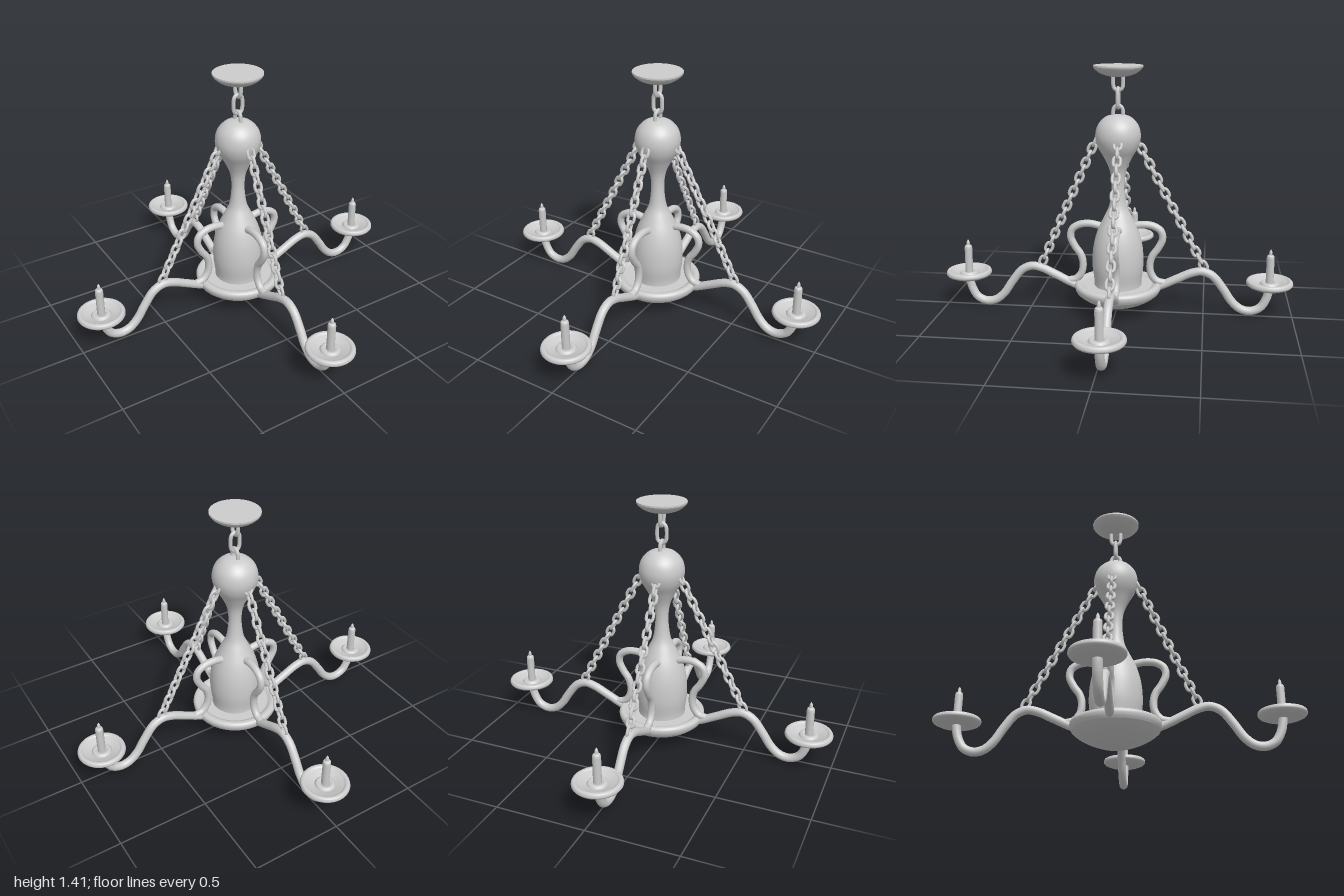
import * as THREE from 'three';

const material = new THREE.MeshStandardMaterial({ color: 0xcccccc, side: THREE.DoubleSide });
const UP = new THREE.Vector3(0, 1, 0);
const BODY_Z = -0.01;

function add(parent, name, geometry) {
  const mesh = new THREE.Mesh(geometry, material);
  mesh.name = name;
  parent.add(mesh);
  return mesh;
}

// Turned part: several [radius, y] runs, each smooth, with sharp edges between runs
function turned(parent, name, runs, segments = 40) {
  const group = new THREE.Group();
  group.name = name;
  for (const run of runs) {
    const pts = run.map(([r, y]) => new THREE.Vector2(r, y));
    const profile = pts.length > 2 ? new THREE.SplineCurve(pts).getPoints(pts.length * 4) : pts;
    profile.forEach((p) => { p.x = Math.max(p.x, 0); });
    add(group, name + 'Surface', new THREE.LatheGeometry(profile, segments));
  }
  parent.add(group);
  return group;
}

// Round bar bent through [x, y] points
function bentBar(parent, name, points, radius) {
  const curve = new THREE.CatmullRomCurve3(points.map(([x, y]) => new THREE.Vector3(x, y, 0)));
  return add(parent, name, new THREE.TubeGeometry(curve, 64, radius, 14));
}

// Oval chain link standing along y, open towards z
function linkGeometry(length, width, wire) {
  const r = width / 2 - wire;
  const straight = length / 2 - wire - r;
  const pts = [];
  for (let i = 0; i < 12; i++) {
    const a = ((i + 0.5) / 12) * Math.PI * 2;
    pts.push(new THREE.Vector3(r * Math.cos(a), r * Math.sin(a) + Math.sign(Math.sin(a)) * straight, 0));
  }
  return new THREE.TubeGeometry(new THREE.CatmullRomCurve3(pts, true), 24, wire, 8, true);
}

// Links between two points, each turned a quarter from the last
function chain(parent, name, from, to, count, geometry) {
  const group = new THREE.Group();
  group.name = name;
  const align = new THREE.Quaternion().setFromUnitVectors(UP, from.clone().sub(to).normalize());
  for (let i = 0; i < count; i++) {
    const link = add(group, 'chainLink', geometry);
    link.position.lerpVectors(from, to, i / (count - 1));
    const twist = new THREE.Quaternion().setFromAxisAngle(UP, i % 2 ? 0 : Math.PI / 2);
    link.quaternion.copy(align).multiply(twist);
  }
  parent.add(group);
}

export function createModel() {
  const model = new THREE.Group();
  model.name = 'chandelier';

  // Central column: bulb, slim neck and vase
  const column = turned(model, 'column', [[
    [0.135, 0.16], [0.135, 0.2], [0.145, 0.28], [0.144, 0.36], [0.134, 0.43], [0.113, 0.5],
    [0.08, 0.57], [0.052, 0.63], [0.04, 0.7], [0.037, 0.77], [0.047, 0.84], [0.078, 0.91],
    [0.112, 0.97], [0.126, 1.03], [0.113, 1.09], [0.075, 1.133], [0.035, 1.148], [0, 1.15],
  ]]);
  column.position.z = BODY_Z;

  // Shallow bowl with a rounded rim
  const bowl = turned(model, 'bowl', [
    [[0, 0.042], [0.07, 0.048], [0.14, 0.072], [0.2, 0.103], [0.236, 0.132]],
    [[0.236, 0.132], [0.245, 0.15], [0.247, 0.17], [0.236, 0.184], [0.215, 0.184], [0.195, 0.172]],
    [[0.195, 0.172], [0.1, 0.172]],
  ], 48);
  bowl.position.z = BODY_Z;

  // Ceiling cap
  const cap = turned(model, 'ceilingCap', [
    [[0, 1.353], [0.05, 1.358], [0.095, 1.372], [0.125, 1.393], [0.136, 1.408]],
    [[0.136, 1.408], [0.136, 1.417]],
    [[0.136, 1.417], [0, 1.417]],
  ]);
  cap.position.z = BODY_Z;

  // Short hanging chain below the cap
  chain(model, 'hangingChain', new THREE.Vector3(0, 1.335, BODY_Z),
    new THREE.Vector3(0, 1.145, BODY_Z), 3, linkGeometry(0.13, 0.074, 0.011));

  // Four arms: yaw, sideways shift and where the chain meets the arm
  const smallLink = linkGeometry(0.075, 0.056, 0.009);
  const arms = [
    ['left', 0, 0, -0.022, 0.49],
    ['back', Math.PI / 2, -0.012, 0, 0.495],
    ['right', Math.PI, 0, -0.022, 0.49],
    ['front', -Math.PI / 2, 0, 0, 0.425],
  ];
  for (const [side, yaw, x, z, chainEnd] of arms) {
    const arm = new THREE.Group();
    arm.name = side + 'Arm';
    arm.rotation.y = yaw;
    arm.position.set(x, 0, z);
    model.add(arm);

    // S-shaped main arm
    bentBar(arm, 'armBar', [
      [0.18, 0.14], [0.25, 0.165], [0.35, 0.213], [0.43, 0.25], [0.49, 0.261], [0.55, 0.236],
      [0.61, 0.162], [0.66, 0.088], [0.71, 0.046], [0.765, 0.035], [0.82, 0.058],
      [0.852, 0.11], [0.865, 0.16], [0.868, 0.2],
    ], 0.024);

    // Scroll bracket from the vase down to the rim
    bentBar(arm, 'scrollBracket', [
      [0.09, 0.515], [0.15, 0.526], [0.21, 0.519], [0.253, 0.49], [0.262, 0.445], [0.238, 0.39],
      [0.204, 0.34], [0.192, 0.29], [0.2, 0.235], [0.232, 0.195], [0.28, 0.183],
    ], 0.021);

    // Drip pan with a raised rim and small cup
    const pan = turned(arm, 'dripPan', [
      [[0, 0.184], [0.1, 0.184]],
      [[0.1, 0.184], [0.124, 0.195]],
      [[0.124, 0.195], [0.131, 0.206], [0.126, 0.222], [0.112, 0.226], [0.1, 0.219]],
      [[0.1, 0.219], [0.055, 0.203]],
      [[0.055, 0.203], [0.048, 0.213], [0.036, 0.216], [0.02, 0.21]],
    ]);
    pan.position.x = 0.868;

    // Candle with a pointed tip
    const candle = turned(arm, 'candle', [
      [[0.022, 0.2], [0.022, 0.355]],
      [[0.022, 0.355], [0.019, 0.368], [0.01, 0.374]],
      [[0.01, 0.374], [0.008, 0.392], [0, 0.407]],
    ], 14);
    candle.position.x = 0.868;

    // Slanted support chain
    chain(arm, 'supportChain', new THREE.Vector3(0.118, 1.0, 0),
      new THREE.Vector3(chainEnd, 0.295, 0), 18, smallLink);
  }
  return model;
}
